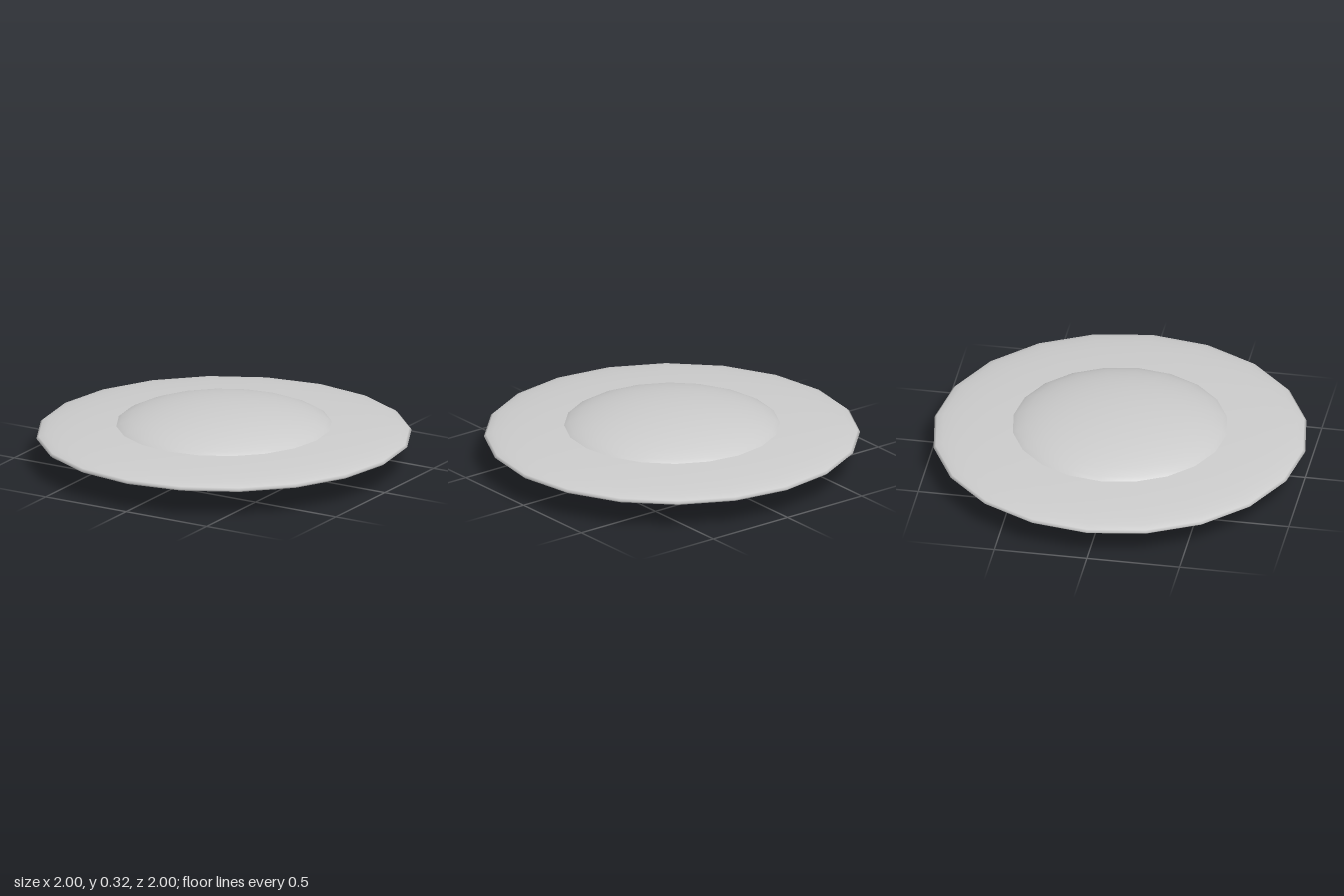
import * as THREE from 'three';

const HALF_HEIGHT = 0.162;

// Flattened 20-sided sphere, centred at the saucer's mid height
function flattenedSphere(name, radius, halfHeight, material) {
  const geometry = new THREE.SphereGeometry(1, 20, 20);
  geometry.scale(radius, halfHeight, radius);
  const mesh = new THREE.Mesh(geometry, material);
  mesh.name = name;
  mesh.position.y = HALF_HEIGHT;
  return mesh;
}

export function createModel() {
  const group = new THREE.Group();
  group.name = 'saucer';
  const material = new THREE.MeshStandardMaterial({ color: 0xcccccc });

  // Wide thin rim disc
  group.add(flattenedSphere('rimDisc', 1, 0.071, material));
  // Thicker central body, showing as a dome above and below the disc
  group.add(flattenedSphere('centralDome', 0.617, HALF_HEIGHT, material));

  return group;
}
